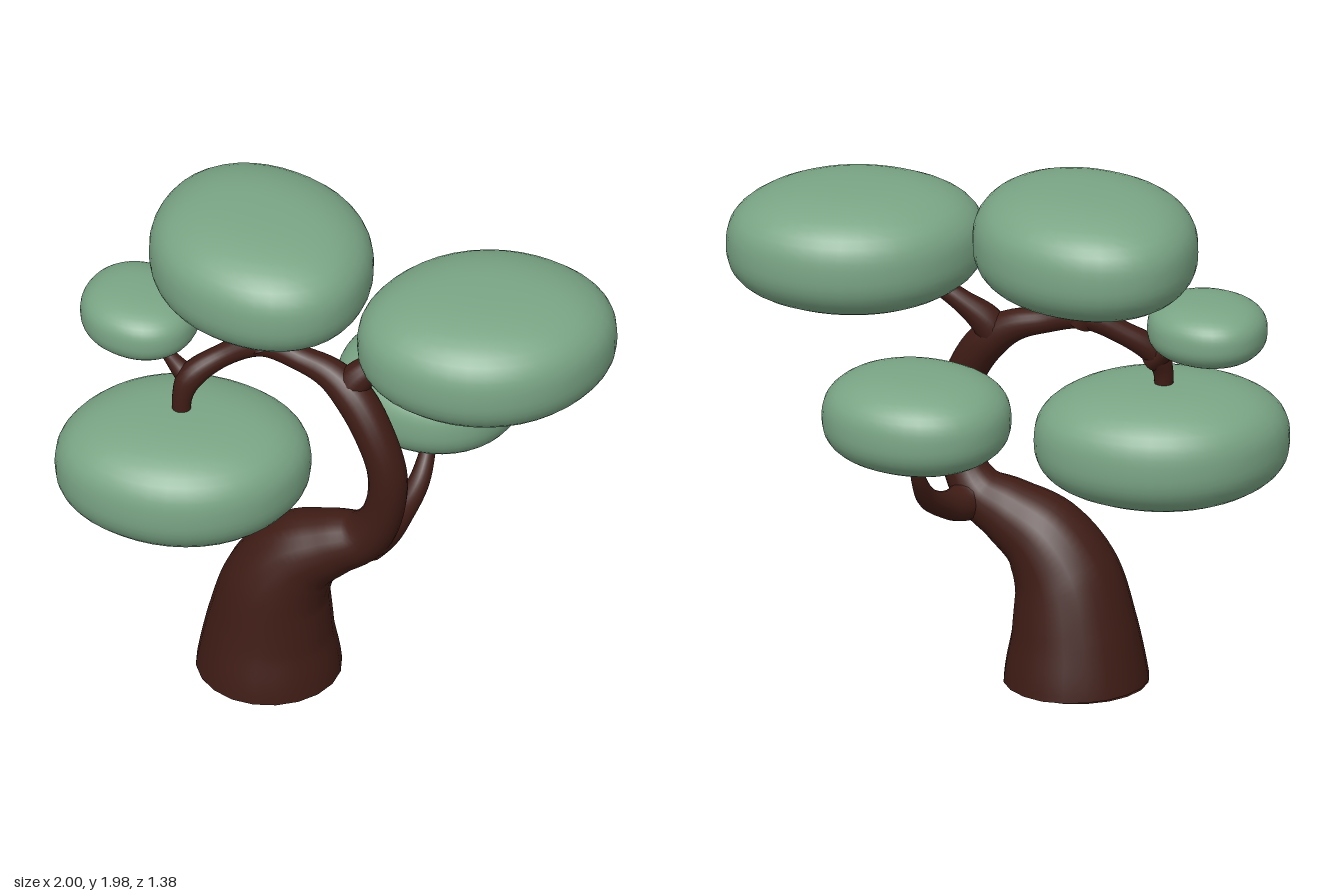
import * as THREE from 'three';
import { mergeVertices } from 'three/addons/utils/BufferGeometryUtils.js';

const bark = new THREE.MeshStandardMaterial({ color: 0x3f1c15, side: THREE.DoubleSide });
const leaf = new THREE.MeshStandardMaterial({ color: 0x7aa585 });

// Tapered limb through points [x, y, z, radius]
function limb(name, pts, sides = 16) {
  const curve = new THREE.CatmullRomCurve3(pts.map(p => new THREE.Vector3(p[0], p[1], p[2])));
  const radii = new THREE.SplineCurve(pts.map((p, i) => new THREE.Vector2(i, p[3])));
  const rows = (pts.length - 1) * 6;
  let geo = new THREE.TubeGeometry(curve, rows, 1, sides);
  const pos = geo.attributes.position, v = new THREE.Vector3();
  for (let i = 0; i <= rows; i++) {
    const c = curve.getPointAt(i / rows);
    const r = radii.getPoint(curve.getUtoTmapping(i / rows)).y;
    for (let j = 0; j <= sides; j++) {
      const k = i * (sides + 1) + j;
      v.fromBufferAttribute(pos, k).sub(c).multiplyScalar(r).add(c);
      pos.setXYZ(k, v.x, Math.max(v.y, 0), v.z);
    }
  }
  geo.deleteAttribute('uv');
  geo.deleteAttribute('normal');
  geo = mergeVertices(geo, 1e-5);
  geo.computeVertexNormals();
  const mesh = new THREE.Mesh(geo, bark);
  mesh.name = name;
  return mesh;
}

// Flattened rounded cushion: a sphere squared off vertically, sheared in plan
function cushion(name, [x, y, z], [rx, ry, rz], skew) {
  let geo = new THREE.SphereGeometry(1, 40, 28);
  const pos = geo.attributes.position;
  const n = 2.6, m = 2.15;
  for (let i = 0; i < pos.count; i++) {
    const a = pos.getX(i), b = pos.getY(i), c = pos.getZ(i);
    const plan = Math.pow(Math.abs(a) ** m + Math.abs(c) ** m, 1 / m);
    const s = Math.pow(plan ** n + Math.abs(b) ** n, -1 / n);
    pos.setXYZ(i, (a * Math.sqrt(1 - skew * skew) + c * skew) * s * rx, b * s * ry, c * s * rz);
  }
  geo.deleteAttribute('uv');
  geo.deleteAttribute('normal');
  geo = mergeVertices(geo, 1e-5);
  geo.computeVertexNormals();
  const mesh = new THREE.Mesh(geo, leaf);
  mesh.name = name;
  mesh.position.set(x, y, z);
  return mesh;
}

export function createModel() {
  const tree = new THREE.Group();
  tree.name = 'bonsaiTree';

  // Trunk, sweeping over and up, then running on into the long left branch
  tree.add(limb('trunk', [
    [-0.257, 0, 0.11, 0.27], [-0.25, 0.2, 0.11, 0.235], [-0.215, 0.4, 0.11, 0.2],
    [-0.13, 0.54, 0.095, 0.165], [0, 0.625, 0.075, 0.128], [0.12, 0.69, 0.06, 0.098],
    [0.195, 0.81, 0.06, 0.077], [0.222, 1.0, 0.065, 0.073], [0.165, 1.17, 0.065, 0.074],
    [0.07, 1.3, 0.055, 0.074], [-0.03, 1.37, 0.055, 0.06], [-0.15, 1.405, 0.07, 0.048],
    [-0.29, 1.44, 0.1, 0.052], [-0.42, 1.375, 0.16, 0.043], [-0.515, 1.29, 0.235, 0.05],
    [-0.535, 1.21, 0.265, 0.038], [-0.535, 1.12, 0.27, 0.034],
  ], 20));
  const base = new THREE.Mesh(new THREE.CircleGeometry(0.268, 20), bark);
  base.name = 'trunkBase';
  base.rotation.x = Math.PI / 2;
  base.position.set(-0.257, 0.001, 0.11);
  tree.add(base);

  // Side branches, flared where they leave the trunk
  tree.add(limb('rightBranch', [
    [0.04, 1.31, 0.055, 0.065], [0.08, 1.38, 0.03, 0.06],
    [0.15, 1.45, -0.01, 0.043], [0.24, 1.515, -0.04, 0.035], [0.32, 1.56, -0.06, 0.025],
  ]));
  tree.add(limb('backBranch', [
    [0.13, 0.68, 0.06, 0.09], [0.15, 0.665, -0.03, 0.07], [0.165, 0.69, -0.13, 0.05],
    [0.17, 0.755, -0.25, 0.04], [0.16, 0.86, -0.34, 0.028], [0.155, 0.98, -0.39, 0.02],
  ]));
  tree.add(limb('topTwig', [
    [-0.28, 1.42, 0.1, 0.058], [-0.315, 1.475, 0.09, 0.042],
    [-0.345, 1.53, 0.08, 0.027], [-0.365, 1.58, 0.07, 0.022],
  ]));
  tree.add(limb('leftTwig', [
    [-0.5, 1.26, 0.235, 0.048], [-0.555, 1.295, 0.23, 0.038],
    [-0.63, 1.335, 0.21, 0.024], [-0.7, 1.38, 0.19, 0.018],
  ]));

  // Foliage cushions: name, centre, half sizes, plan skew
  [
    ['topFoliage', [-0.345, 1.755, 0.015], [0.443, 0.226, 0.405], 0.14],
    ['rightFoliage', [0.552, 1.65, -0.095], [0.443, 0.228, 0.425], -0.16],
    ['smallLeftFoliage', [-0.77, 1.45, 0.17], [0.23, 0.118, 0.22], 0.1],
    ['lowerLeftFoliage', [-0.52, 0.935, 0.285], [0.445, 0.226, 0.405], -0.15],
    ['backFoliage', [0.15, 1.12, -0.375], [0.35, 0.18, 0.316], 0],
  ].forEach(f => tree.add(cushion(...f)));

  return tree;
}
